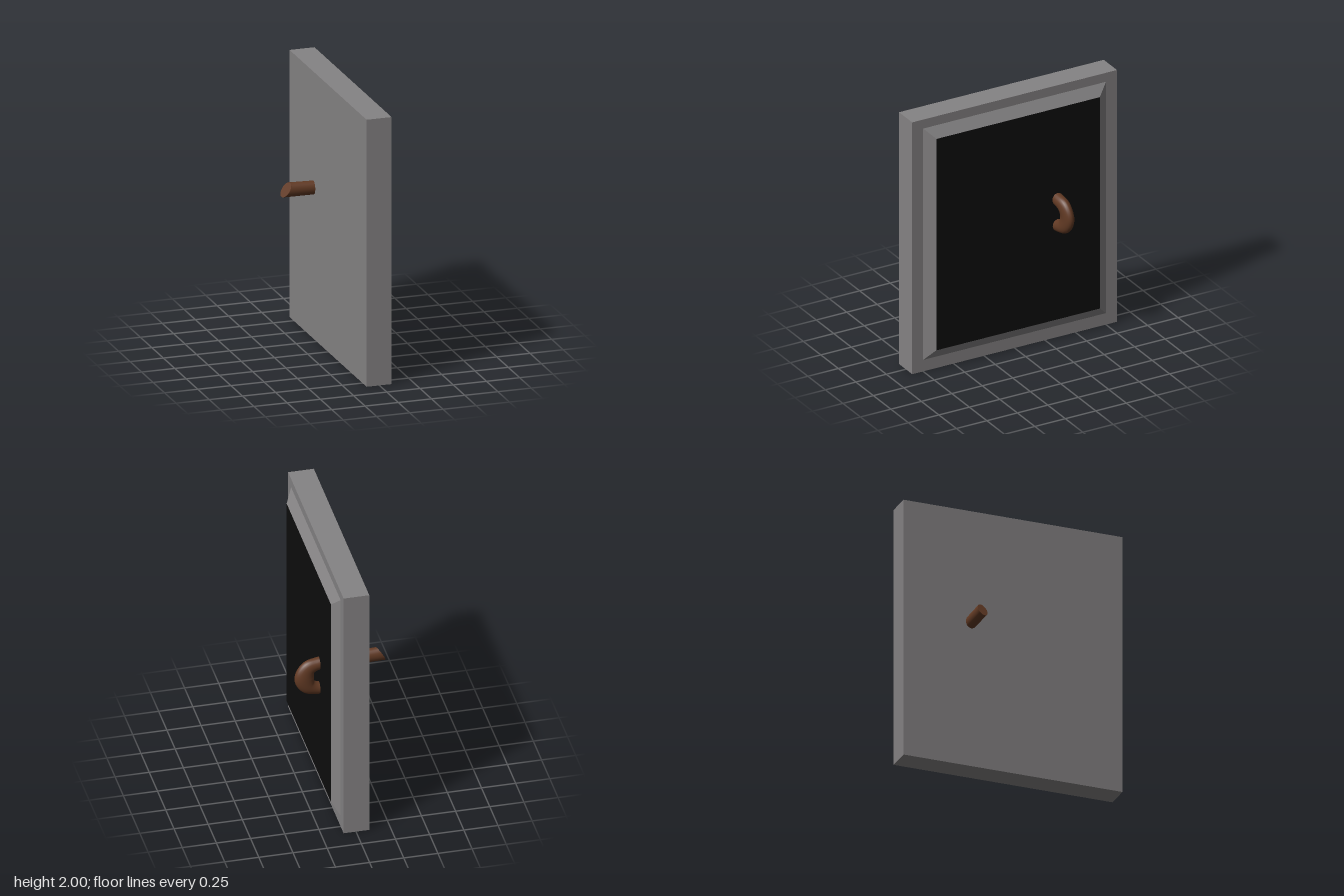
import * as THREE from 'three';

const grey = new THREE.MeshStandardMaterial({ color: 0x858384 });
grey.name = 'frame grey';
const black = new THREE.MeshStandardMaterial({ color: 0x0d0d0d });
black.name = 'panel black';
const brown = new THREE.MeshStandardMaterial({ color: 0x623a24 });
brown.name = 'hook brown';

function add(group, name, geometry, material, x = 0, y = 0, z = 0) {
  const mesh = new THREE.Mesh(geometry, material);
  mesh.name = name;
  mesh.position.set(x, y, z);
  group.add(mesh);
  return mesh;
}

// Box whose +x face is narrowed by an inset on every side
function bevelledBox(depth, height, width, inset) {
  const g = new THREE.BoxGeometry(depth, height, width).toNonIndexed();
  const p = g.attributes.position;
  for (let i = 0; i < p.count; i++) {
    if (p.getX(i) > 0) {
      p.setY(i, p.getY(i) - Math.sign(p.getY(i)) * inset);
      p.setZ(i, p.getZ(i) - Math.sign(p.getZ(i)) * inset);
    }
  }
  g.computeVertexNormals();
  return g;
}

// Bent bar of varying oval section with a slanted cut at its free end
function hookGeometry() {
  // x, y, z of the centre line
  const path = new THREE.CatmullRomCurve3([
    [-0.305, 1.137, -0.317], [-0.05, 1.131, -0.32], [0.16, 1.125, -0.323],
    [0.228, 1.097, -0.33], [0.257, 1.025, -0.337], [0.23, 0.955, -0.334],
    [0.16, 0.923, -0.325], [0.05, 0.923, -0.32],
  ].map((a) => new THREE.Vector3(...a)), false, 'centripetal');
  // section radii in the plane of the bend and across it, at the same stations
  const radii = new THREE.CatmullRomCurve3([
    [0.053, 0.042], [0.05, 0.042], [0.048, 0.043], [0.061, 0.042],
    [0.072, 0.041], [0.061, 0.042], [0.047, 0.042], [0.047, 0.042],
  ].map(([a, b], i) => new THREE.Vector3(a, b, i * 0.05)));
  const rings = 56, sides = 24, pos = [], index = [];
  for (let i = 0; i <= rings; i++) {
    const c = path.getPoint(i / rings), t = path.getTangent(i / rings), r = radii.getPoint(i / rings);
    const n = new THREE.Vector3(-t.y, t.x, 0).normalize();
    for (let j = 0; j < sides; j++) {
      const a = (j / sides) * Math.PI * 2, u = Math.cos(a), v = Math.sin(a);
      const cut = i === 0 ? 0.027 * u + 0.015 * v : 0;
      pos.push(c.x + n.x * r.x * u + cut, c.y + n.y * r.x * u, c.z + r.y * v);
      if (i < rings) {
        const k = i * sides, j1 = (j + 1) % sides;
        index.push(k + j, k + j1, k + sides + j, k + j1, k + sides + j1, k + sides + j);
      }
    }
  }
  // End caps with their own vertices, to keep the rim sharp
  for (const end of [0, rings]) {
    const base = pos.length / 3;
    for (let j = 0; j < sides; j++) {
      const k = (end * sides + j) * 3;
      pos.push(pos[k], pos[k + 1], pos[k + 2]);
      if (j > 0 && j < sides - 1) {
        if (end === 0) index.push(base, base + j + 1, base + j);
        else index.push(base, base + j, base + j + 1);
      }
    }
  }
  const g = new THREE.BufferGeometry();
  g.setAttribute('position', new THREE.Float32BufferAttribute(pos, 3));
  g.setIndex(index);
  g.computeVertexNormals();
  return g;
}

export function createModel() {
  const model = new THREE.Group();
  model.name = 'panelWithHook';
  // Upright slab
  add(model, 'slab', new THREE.BoxGeometry(0.188, 2, 1.68), grey, -0.003, 1, 0);
  // Raised bevelled border
  add(model, 'bevelledBorder', bevelledBox(0.056, 1.85, 1.512, 0.086), grey, 0.115, 1.01, 0);
  // Black face of the raised panel
  add(model, 'blackFace', new THREE.BoxGeometry(0.004, 1.678, 1.34), black, 0.143, 1.01, 0);
  // Hook through the panel
  add(model, 'hook', hookGeometry(), brown);
  return model;
}
